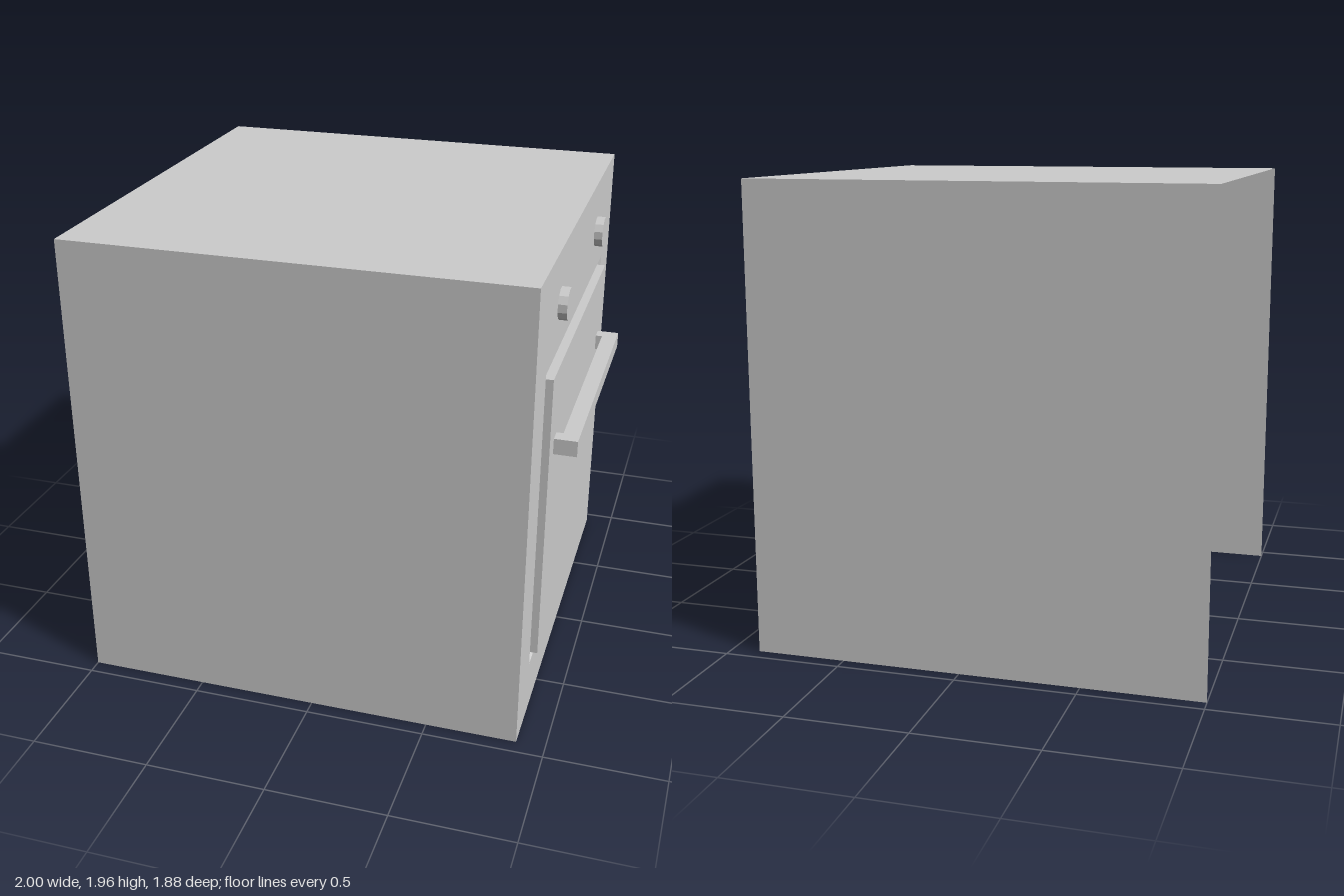
import * as THREE from 'three';

const mat = new THREE.MeshStandardMaterial({ color: 0xcccccc, flatShading: true, side: THREE.DoubleSide });

// Overall sizes: the door faces +x
const BACK = -1, FACE = 0.88, HEIGHT = 1.96, HALF = 0.938;
const DOOR_X = 0.905, GROOVE_X = 0.82;
const opening = { w: 0.715, lo: 0.23, hi: 1.537 };
const door = { w: 0.678, lo: 0.263, hi: 1.504 };

function add(parent, name, geometry, x = 0, y = 0, z = 0) {
  const mesh = new THREE.Mesh(geometry, mat);
  mesh.name = name;
  mesh.position.set(x, y, z);
  parent.add(mesh);
  return mesh;
}

// Four corners of a rectangle, counter-clockwise as seen from +x
const corners = ({ w, lo, hi }) => [[-w, lo], [w, lo], [w, hi], [-w, hi]];

// Surface joining a series of rectangles, closed by a cap on the last one
function loftRects(rings) {
  const pts = rings.map(([rect, x]) => corners(rect).map(([u, y]) => [x, y, -u]));
  const pos = [];
  const quad = (a, b, c, d) => pos.push(...a, ...b, ...c, ...a, ...c, ...d);
  for (let r = 0; r < pts.length - 1; r++) {
    for (let i = 0; i < 4; i++) {
      const j = (i + 1) % 4;
      quad(pts[r][i], pts[r][j], pts[r + 1][j], pts[r + 1][i]);
    }
  }
  quad(...pts[pts.length - 1]);
  const g = new THREE.BufferGeometry();
  g.setAttribute('position', new THREE.Float32BufferAttribute(pos, 3));
  g.computeVertexNormals();
  return g;
}

export function createModel() {
  const model = new THREE.Group();
  model.name = 'oven';

  // Thin casing, open at the back and underneath
  const depth = FACE - BACK, midX = (FACE + BACK) / 2;
  add(model, 'topPanel', new THREE.PlaneGeometry(depth, HALF * 2).rotateX(-Math.PI / 2), midX, HEIGHT, 0);
  for (const s of [1, -1]) {
    const side = new THREE.PlaneGeometry(depth, HEIGHT);
    if (s < 0) side.rotateY(Math.PI);
    add(model, s > 0 ? 'sidePanelA' : 'sidePanelB', side, midX, HEIGHT / 2, s * HALF);
  }

  // Face panel with the door opening cut out
  const toPoints = (rect) => corners(rect).map(([u, y]) => new THREE.Vector2(u, y));
  const face = new THREE.Shape(toPoints({ w: HALF, lo: 0, hi: HEIGHT }));
  face.holes.push(new THREE.Path(toPoints(opening).reverse()));
  add(model, 'facePanel', new THREE.ShapeGeometry(face).rotateY(Math.PI / 2), FACE, 0, 0);

  // Sloped groove running in from the opening, then the door standing proud
  add(model, 'door', loftRects([[opening, FACE], [door, GROOVE_X], [door, DOOR_X]]));

  // Handle: square bar on two end posts
  const handle = new THREE.Group();
  handle.name = 'handle';
  handle.position.y = 1.18;
  model.add(handle);
  add(handle, 'handleBar', new THREE.BoxGeometry(0.067, 0.067, 1.172), 0.9665, 0, 0);
  for (const s of [1, -1]) {
    add(handle, 'handlePost', new THREE.BoxGeometry(0.028, 0.067, 0.061), 0.919, 0, s * 0.5555);
  }

  // Control knobs
  for (const s of [1, -1]) {
    const knob = new THREE.CylinderGeometry(0.065, 0.065, 0.036, 12, 1, false, Math.PI / 12);
    add(model, 'knob', knob.rotateZ(-Math.PI / 2), FACE + 0.018, 1.733, s * 0.463);
  }

  return model;
}
